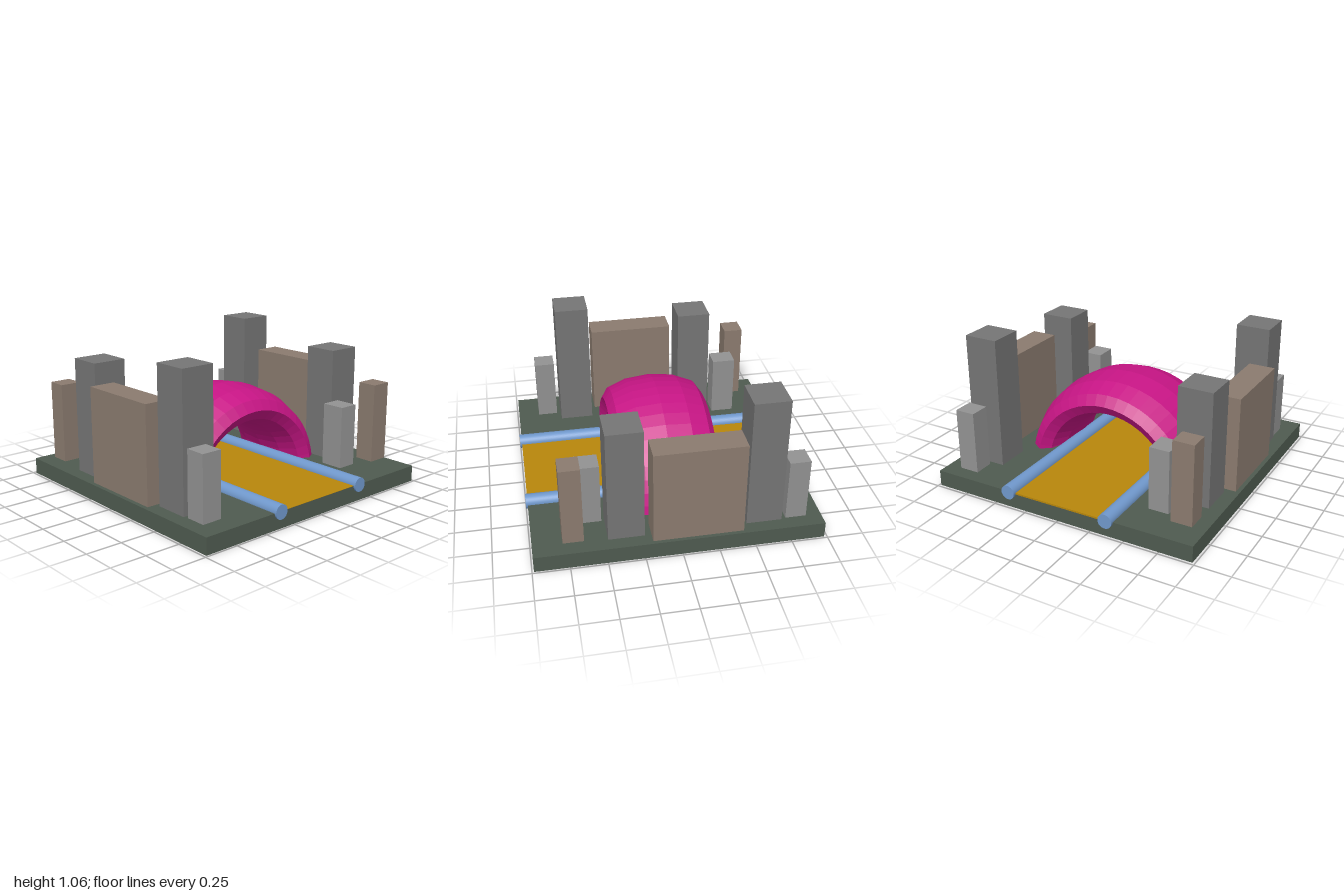
import * as THREE from 'three';

const material = (color, extra = {}) => new THREE.MeshStandardMaterial({ color, ...extra });
const stone = material(0x757575);
const paleStone = material(0x929292);
const brown = material(0x8b7b6f);

// Box given by its extents along each axis
function block(name, mat, [x0, x1], [y0, y1], [z0, z1]) {
  const mesh = new THREE.Mesh(new THREE.BoxGeometry(x1 - x0, y1 - y0, z1 - z0), mat);
  mesh.name = name;
  mesh.position.set((x0 + x1) / 2, (y0 + y1) / 2, (z0 + z1) / 2);
  return mesh;
}

// One row of towers along the front edge
function towerRow(name) {
  const row = new THREE.Group();
  row.name = name;
  const floor = 0.115;
  row.add(
    block('wideBlock', brown, [-0.24, 0.375], [floor, 0.8], [0.765, 0.953]),
    block('tallTower', stone, [0.41, 0.655], [floor, 1.06], [0.64, 0.885]),
    block('mediumTower', stone, [-0.53, -0.285], [floor, 0.94], [0.64, 0.885]),
    block('outerLowTower', paleStone, [0.685, 0.83], [floor, 0.57], [0.73, 0.875]),
    block('innerLowTower', paleStone, [-0.72, -0.55], [floor, 0.57], [0.54, 0.685]),
    // this narrow tower hovers slightly above the base
    block('narrowTower', brown, [-0.83, -0.69], [0.15, 0.72], [0.755, 0.905])
  );
  return row;
}

export function createModel() {
  const model = new THREE.Group();
  model.name = 'archDiorama';

  // Base slab and the golden road across it
  model.add(
    block('base', material(0x4f5b50), [-0.98, 0.987], [0.004, 0.12], [-0.987, 0.983]),
    block('road', material(0xb8860b), [-0.98, 0.987], [0.11, 0.122], [-0.385, 0.37])
  );

  // Rails on both sides of the road
  const railGeometry = new THREE.CylinderGeometry(0.051, 0.051, 2, 32).rotateZ(Math.PI / 2);
  const railMaterial = material(0x7098cc);
  for (const [name, z] of [['frontRail', 0.37], ['backRail', -0.385]]) {
    const rail = new THREE.Mesh(railGeometry, railMaterial);
    rail.name = name;
    rail.position.set(0, 0.121, z);
    model.add(rail);
  }

  // Faceted half ring, stretched sideways into a wide arch
  const arch = new THREE.Mesh(
    new THREE.TorusGeometry(0.572, 0.143, 12, 24, Math.PI).rotateY(Math.PI / 2),
    material(0xc71585, { flatShading: true, side: THREE.DoubleSide })
  );
  arch.name = 'arch';
  arch.scale.x = 0.36 / 0.143;
  arch.position.set(0.003, 0.006, -0.005);
  model.add(arch);

  // Front row of towers, repeated at the back by a half turn
  const backRow = towerRow('backTowers');
  backRow.rotation.y = Math.PI;
  backRow.position.set(-0.043, 0, -0.008);
  model.add(towerRow('frontTowers'), backRow);

  return model;
}
